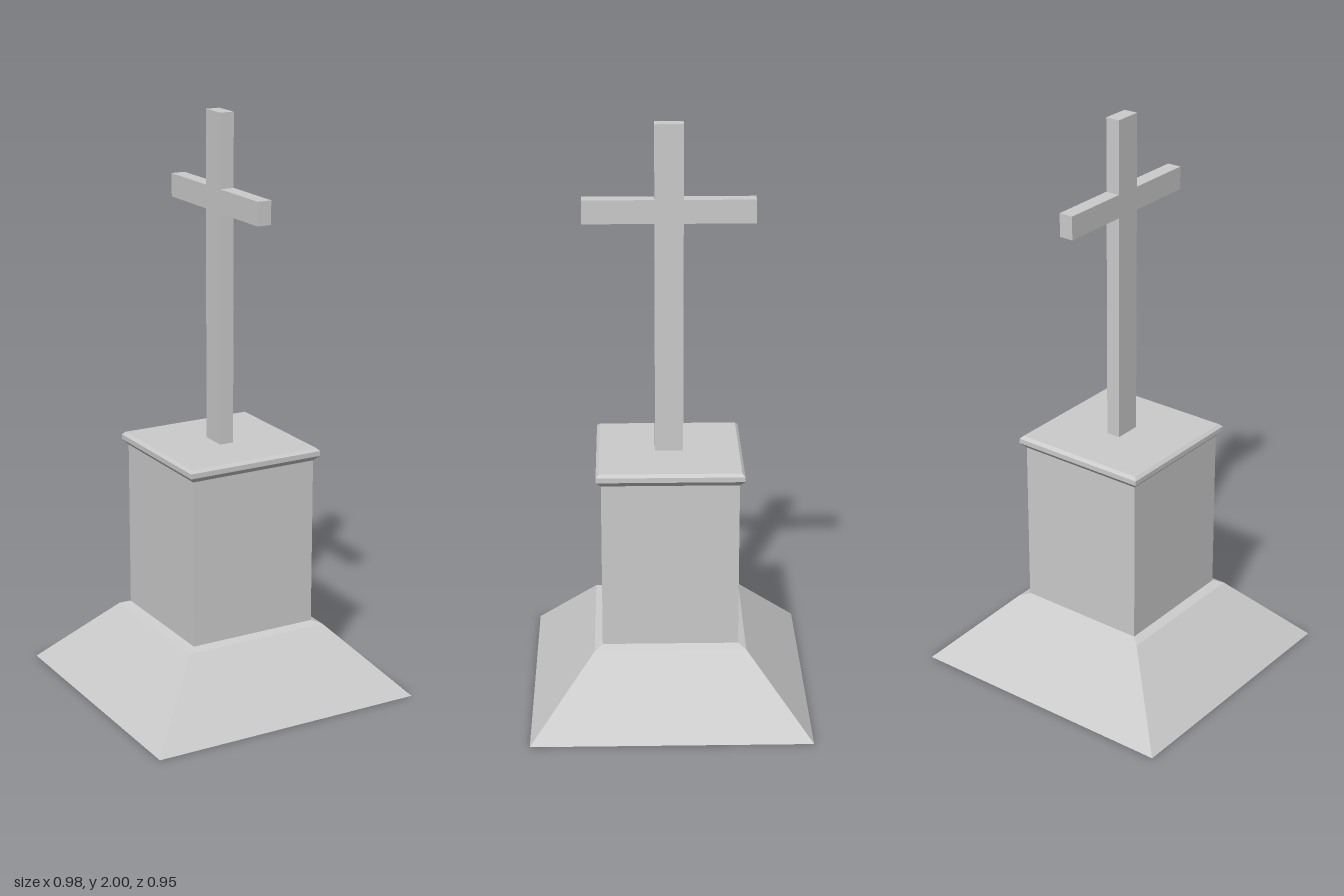
import * as THREE from 'three';

const material = new THREE.MeshStandardMaterial({ color: 0xcccccc, flatShading: true });

// Closed solid lofted through rectangular sections [y, halfX, halfZ], bottom to top
function loftRects(sections) {
  const signs = [[1, 1], [1, -1], [-1, -1], [-1, 1]];
  const rings = sections.map(([y, hx, hz]) => signs.map(([sx, sz]) => [sx * hx, y, sz * hz]));
  const pos = [];
  const quad = (a, b, c, d) => pos.push(...a, ...b, ...c, ...a, ...c, ...d);
  for (let i = 0; i < rings.length - 1; i++) {
    for (let k = 0; k < 4; k++) {
      const n = (k + 1) % 4;
      quad(rings[i][k], rings[i][n], rings[i + 1][n], rings[i + 1][k]);
    }
  }
  const bottom = rings[0];
  quad(bottom[3], bottom[2], bottom[1], bottom[0]);
  quad(...rings[rings.length - 1]);
  const geometry = new THREE.BufferGeometry();
  geometry.setAttribute('position', new THREE.Float32BufferAttribute(pos, 3));
  geometry.computeVertexNormals();
  return geometry;
}

// Latin cross outline, mirrored about its centre line and extruded
function crossGeometry() {
  const half = [[0.048, 0.875], [0.048, 1.67], [0.287, 1.67], [0.287, 1.75], [0.048, 1.75], [0.048, 2]];
  const mirrored = half.map(([z, y]) => [-z, y]).reverse();
  const shape = new THREE.Shape([...half, ...mirrored].map(([z, y]) => new THREE.Vector2(z, y)));
  const geometry = new THREE.ExtrudeGeometry(shape, { depth: 0.05, bevelEnabled: false });
  geometry.translate(0, 0, -0.025);
  geometry.rotateY(-Math.PI / 2);
  return geometry;
}

export function createModel() {
  const group = new THREE.Group();
  group.name = 'crossMonument';
  const add = (name, geometry) => {
    const mesh = new THREE.Mesh(geometry, material);
    mesh.name = name;
    group.add(mesh);
  };

  // Sloping foot with a chamfered top edge
  add('base', loftRects([[0, 0.492, 0.475], [0.237, 0.262, 0.258], [0.248, 0.231, 0.231]]));
  // Square pedestal
  add('pedestal', loftRects([[0.248, 0.231, 0.231], [0.83, 0.231, 0.231]]));
  // Moulded cap
  add('cornice', loftRects([
    [0.83, 0.231, 0.231], [0.848, 0.248, 0.248], [0.865, 0.248, 0.248], [0.875, 0.238, 0.238],
  ]));
  // Cross with its arms along z
  add('cross', crossGeometry());

  return group;
}
